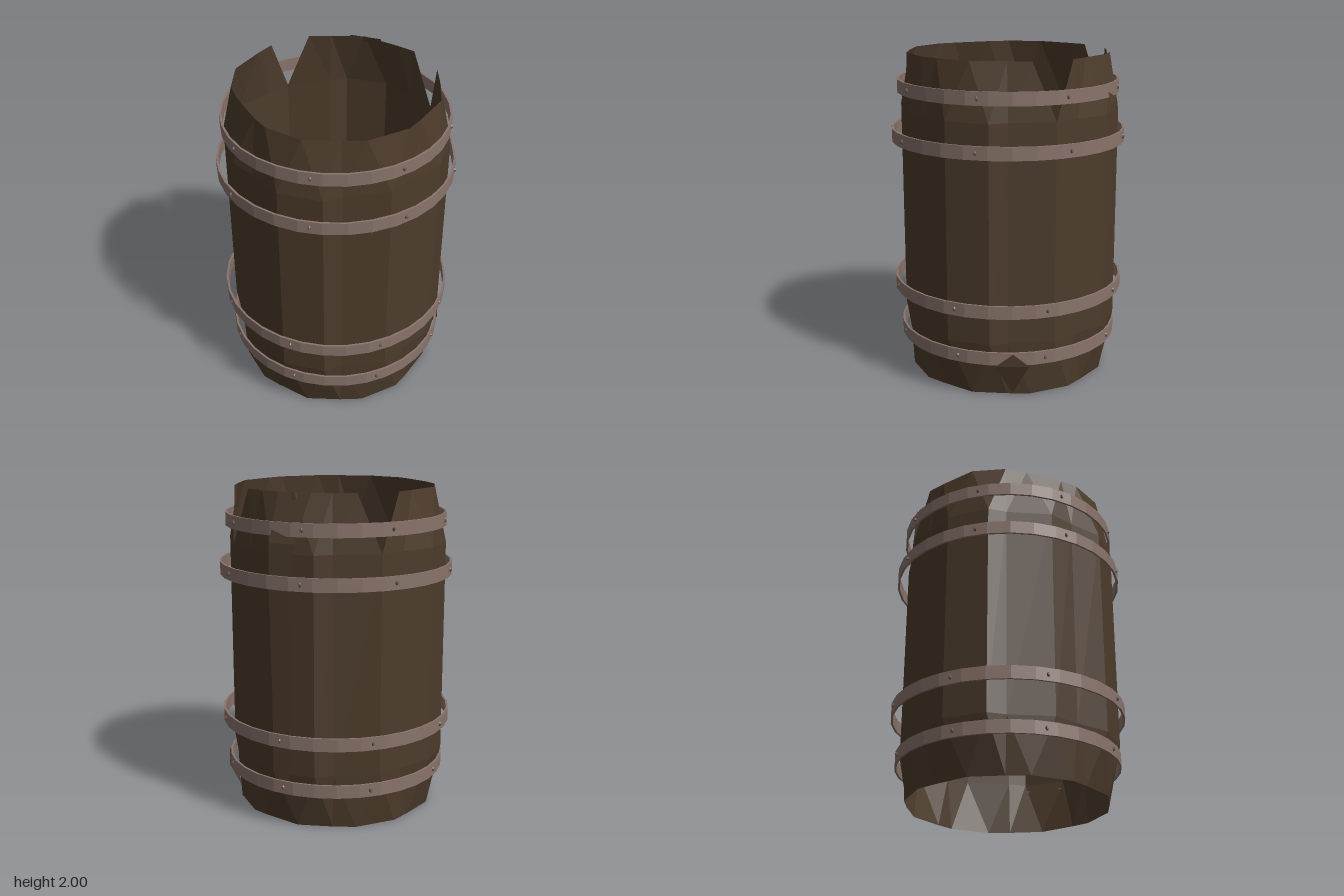
import * as THREE from 'three';

const wood = new THREE.MeshStandardMaterial({ color: 0x4c3b2b, flatShading: true, side: THREE.DoubleSide });
wood.name = 'dark wood';
const iron = new THREE.MeshStandardMaterial({ color: 0x89746b, flatShading: true, side: THREE.DoubleSide });
iron.name = 'worn iron';
const rivetIron = new THREE.MeshStandardMaterial({ color: 0x6b5a53, flatShading: true });
rivetIron.name = 'rivet iron';

// Point at an angle in degrees from the front, turning towards +x
const polar = (deg, r, y) => {
  const a = THREE.MathUtils.degToRad(deg);
  return [r * Math.sin(a), y, r * Math.cos(a)];
};

function meshOf(name, triangles, material) {
  const geometry = new THREE.BufferGeometry();
  geometry.setAttribute('position', new THREE.Float32BufferAttribute(triangles.flat(2), 3));
  geometry.computeVertexNormals();
  const mesh = new THREE.Mesh(geometry, material);
  mesh.name = name;
  return mesh;
}

// Hollow wall: flat staves with pointed, inward-leaning ends
function makeStaves() {
  // [angle, radius] pairs of one quarter, repeated around the barrel
  const around = (quarter) => [0, 90, 180, 270].flatMap((q) => quarter.map(([a, r]) => [a + q, r]));
  const rim = around([[0, 0.62], [20, 0.603], [33, 0.62], [57, 0.62], [68, 0.603]]);
  const wall = around([[11.25, 0.682], [20.5, 0.637], [45, 0.664], [59.5, 0.635], [78.75, 0.682]]);
  const n = rim.length;
  const notches = [7, 12]; // missing stave tips at the back corners
  const sunken = [17, 18]; // rim corners worn inwards at the front

  const top = rim.map(([a, r], i) => polar(a, sunken.includes(i) ? 0.58 : r, 2));
  const bottom = rim.map(([a, r]) => polar(a, r, 0));
  const upper = wall.map(([a, r]) => polar(a, r, 1.66));
  const lower = wall.map(([a, r]) => polar(a, r, 0.34));

  const tris = [];
  for (let i = 0; i < n; i++) {
    const j = (i + 1) % n;
    tris.push([lower[i], lower[j], upper[j]], [lower[i], upper[j], upper[i]]);
    if (!notches.includes(i)) tris.push([upper[i], top[j], top[i]]);
    tris.push([upper[i], upper[j], top[j]]);
    tris.push([lower[i], bottom[i], bottom[j]], [lower[i], bottom[j], lower[j]]);
  }
  return meshOf('staves', tris, wood);
}

// Warped plank that leans out from the back wall
function makeLooseStave() {
  const rows = [[0.02, 0.12, 0.3, -0.672], [0, 0.13, 1.45, -0.7], [-0.02, 0.13, 1.72, -0.69], [-0.1, 0.1, 2, -0.615]];
  const tris = [];
  for (let i = 0; i < rows.length - 1; i++) {
    const [a, b] = [rows[i], rows[i + 1]];
    const p = [a[0], a[2], a[3]], q = [a[1], a[2], a[3]];
    const r = [b[0], b[2], b[3]], s = [b[1], b[2], b[3]];
    tris.push([q, p, r], [q, r, s]);
  }
  return meshOf('looseStave', tris, wood);
}

// Split stave end that pokes out over the lowest hoop
function makeSplinter() {
  const left = polar(104, 0.695, 0.21), right = polar(121, 0.695, 0.21);
  const tip = polar(113, 0.692, 0.29), foot = polar(113, 0.615, 0.01);
  return meshOf('splinter', [[left, right, tip], [left, foot, right]], wood);
}

// Flat iron band with eight rivets
function makeHoop(name, y, radius, turn) {
  const group = new THREE.Group();
  group.name = name;
  const inner = radius - 0.013, h = 0.04;
  const profile = [[inner, -h], [radius, -h], [radius, h], [inner, h], [inner, -h]];
  const band = new THREE.Mesh(new THREE.LatheGeometry(profile.map(([x, v]) => new THREE.Vector2(x, v)), 32), iron);
  band.name = 'band';
  group.add(band);

  const rivetGeometry = new THREE.CylinderGeometry(0.006, 0.013, 0.016, 6).rotateX(Math.PI / 2);
  for (let i = 0; i < 8; i++) {
    const rivet = new THREE.Mesh(rivetGeometry, rivetIron);
    rivet.name = 'rivet';
    const deg = turn + i * 45;
    rivet.position.set(...polar(deg, radius, 0));
    rivet.rotation.y = THREE.MathUtils.degToRad(deg);
    rivet.scale.y = 1.4;
    group.add(rivet);
  }
  group.position.y = y;
  return group;
}

export function createModel() {
  const barrel = new THREE.Group();
  barrel.name = 'barrel';
  barrel.add(
    makeStaves(),
    makeLooseStave(),
    makeSplinter(),
    makeHoop('topHoop', 1.8, 0.682, 5.5),
    makeHoop('upperHoop', 1.5, 0.722, 5.5),
    makeHoop('lowerHoop', 0.56, 0.722, -5.5),
    makeHoop('bottomHoop', 0.255, 0.685, -5.5),
  );
  return barrel;
}
